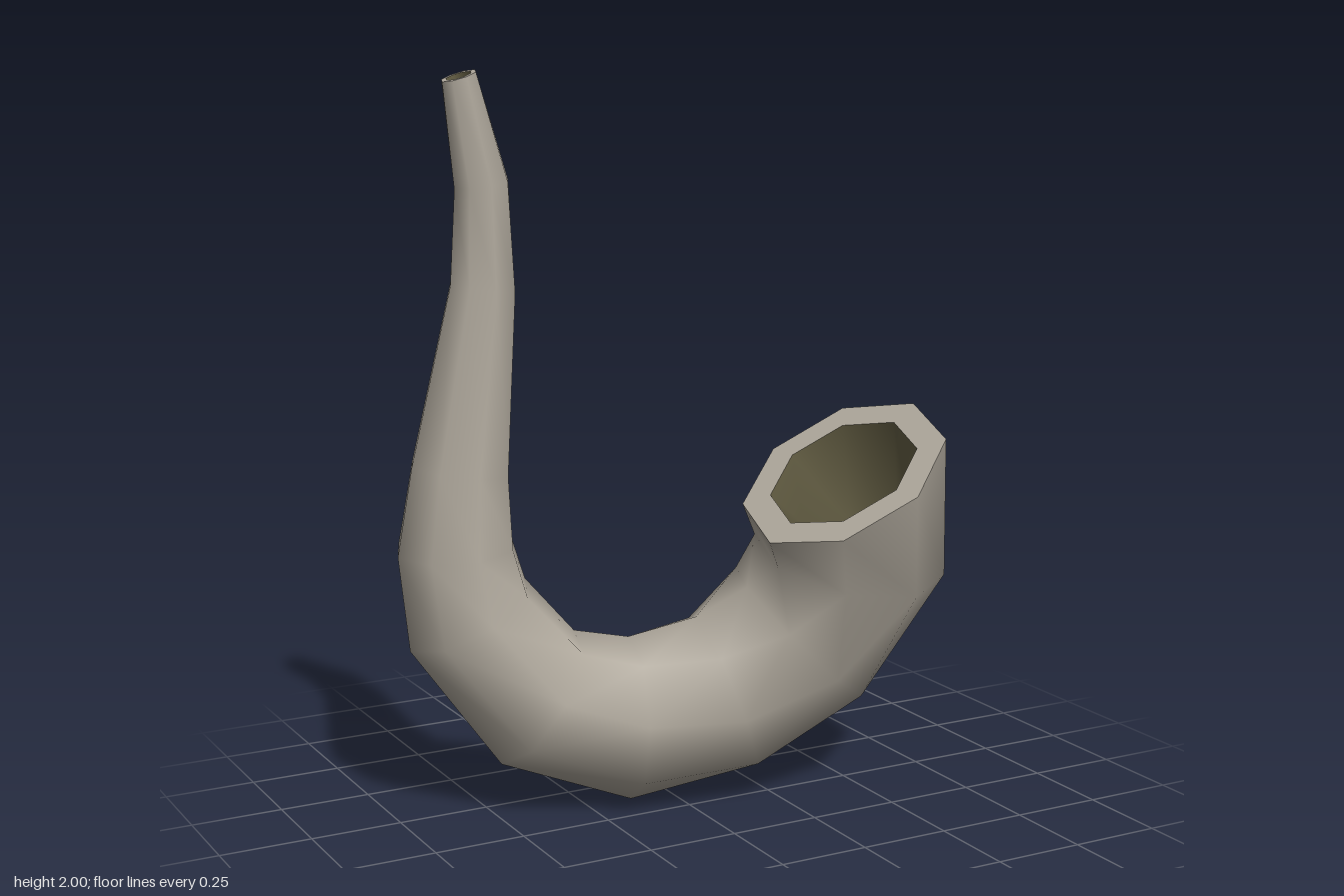
import * as THREE from 'three';

const SIDES = 8;

// Stations from mouthpiece to bowl:
// outer bend x, y, inner bend x, y, centre z, twist of outer bend in z, sideways radius
const STATIONS = [
  [-0.62, 1.97, -0.53, 2.0, -0.165, 0, 0.052],
  [-0.59, 1.7, -0.44, 1.72, -0.172, 0, 0.068],
  [-0.6, 1.45, -0.42, 1.43, -0.187, 0, 0.092],
  [-0.71, 0.98, -0.44, 0.95, -0.207, 0, 0.138],
  [-0.75, 0.74, -0.425, 0.76, -0.22, 0, 0.165],
  [-0.72, 0.48, -0.385, 0.64, -0.225, 0, 0.183],
  [-0.48, 0.14, -0.24, 0.475, -0.205, 0.02, 0.205],
  [-0.12, 0.0, -0.09, 0.445, -0.155, 0.035, 0.22],
  [0.24, 0.06, 0.07, 0.505, -0.09, 0.0, 0.235],
  [0.55, 0.28, 0.17, 0.6, -0.025, -0.04, 0.25],
  [0.745, 0.66, 0.2, 0.675, 0.06, -0.07, 0.26],
  [0.66, 1.08, 0.17, 0.75, 0.11, -0.027, 0.3],
];
const RIM_NORMAL = new THREE.Vector3(-0.67, 1, 0.16);

// Eight-sided cross-sections, shrunk towards the centre line by scale
function makeRings(scale) {
  const centres = STATIONS.map(([ax, ay, bx, by, z]) =>
    new THREE.Vector3((ax + bx) / 2, (ay + by) / 2, z));
  const last = centres.length - 1;
  return STATIONS.map(([ax, ay, bx, by, , twist, radius], i) => {
    const c = centres[i];
    const along = i === last ? RIM_NORMAL
      : centres[i + 1].clone().sub(centres[Math.max(i - 1, 0)]);
    const u = new THREE.Vector3((ax - bx) / 2, (ay - by) / 2, twist);
    const v = along.clone().cross(u).setLength(radius);
    return Array.from({ length: SIDES }, (_, j) => {
      const a = (j / SIDES) * Math.PI * 2;
      return c.clone()
        .addScaledVector(u, Math.cos(a) * scale)
        .addScaledVector(v, Math.sin(a) * scale);
    });
  });
}

// Closed skin through a row of rings, smooth within itself
function skin(rings) {
  const index = [];
  for (let i = 0; i < rings.length - 1; i++) {
    for (let j = 0; j < SIDES; j++) {
      const k = (j + 1) % SIDES;
      const a = i * SIDES + j, b = i * SIDES + k;
      index.push(a, b, a + SIDES, b, b + SIDES, a + SIDES);
    }
  }
  const geometry = new THREE.BufferGeometry().setFromPoints(rings.flat());
  geometry.setIndex(index);
  geometry.computeVertexNormals();
  return geometry;
}

export function createModel() {
  const group = new THREE.Group();
  group.name = 'curvedHorn';

  const hornMaterial = new THREE.MeshStandardMaterial({ color: 0xb0a99d });
  hornMaterial.name = 'pale horn';
  const boreMaterial = new THREE.MeshStandardMaterial({ color: 0x6a6448 });
  boreMaterial.name = 'dark olive bore';

  const outer = makeRings(1);
  const inner = makeRings(0.72);
  const end = outer.length - 1;

  const add = (name, rings, material) => {
    const mesh = new THREE.Mesh(skin(rings), material);
    mesh.name = name;
    group.add(mesh);
  };

  // Outer wall, flat end rims and the hollow bore
  add('hornBody', outer, hornMaterial);
  add('bowlRim', [outer[end], inner[end]], hornMaterial);
  add('mouthpieceRim', [inner[0], outer[0]], hornMaterial);
  add('bore', [...inner].reverse(), boreMaterial);

  return group;
}
